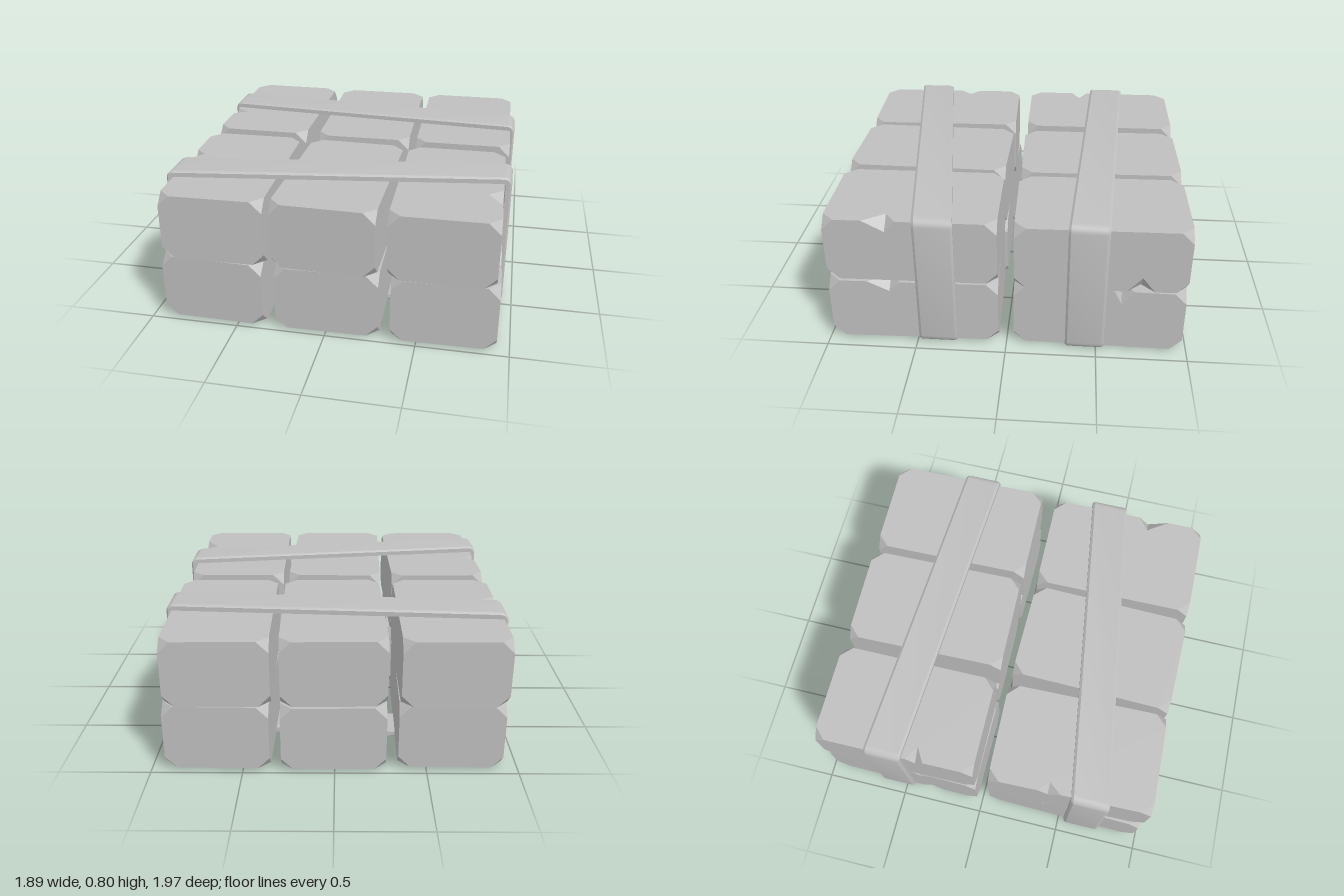
import * as THREE from 'three';
import { toCreasedNormals } from 'three/addons/utils/BufferGeometryUtils.js';

const stone = new THREE.MeshStandardMaterial({ color: 0xbfbfbf });
stone.name = 'grey';

const HALF = [0.285, 0.1875, 0.465]; // half size of one block
const CUT = 0.065; // size of the cut corners

// Collects triangles, each turned to face a given direction
function triangleSoup() {
  const data = [];
  const v = (p) => new THREE.Vector3(...p);
  return {
    add(p, q, r, dir) {
      const n = v(q).sub(v(p)).cross(v(r).sub(v(p)));
      data.push(...p, ...(n.dot(v(dir)) > 0 ? [...q, ...r] : [...r, ...q]));
    },
    geometry() {
      const g = new THREE.BufferGeometry();
      g.setAttribute('position', new THREE.Float32BufferAttribute(data, 3));
      return g;
    },
  };
}

// Box with cut corners and wedge chips on the long side edges.
// A chip is { sx, sy: which edge, z: [start, apex, end], dx, dy: depths }
function blockGeometry(chips) {
  const soup = triangleSoup();
  for (let a = 0; a < 3; a++) {
    const u = (a + 1) % 3, w = (a + 2) % 3;
    for (const s of [-1, 1]) {
      const outline = []; // [u, w, angle used for ordering]
      const put = (pu, pw, ku = pu, kw = pw) => outline.push([pu, pw, Math.atan2(kw, ku)]);
      for (const i of [-1, 1]) for (const j of [-1, 1]) {
        put(i * (HALF[u] - CUT), j * HALF[w]);
        put(i * HALF[u], j * (HALF[w] - CUT));
      }
      for (const c of chips) {
        const mid = (c.z[0] + c.z[2]) / 2;
        if (a === 0 && s === c.sx) {
          const e = c.sy * HALF[1];
          put(e, c.z[0]);
          put(e - c.sy * c.dy, c.z[1], e, mid);
          put(e, c.z[2]);
        } else if (a === 1 && s === c.sy) {
          const e = c.sx * HALF[0];
          put(c.z[0], e);
          put(c.z[1], e - c.sx * c.dx, mid, e);
          put(c.z[2], e);
        }
      }
      outline.sort((p, q) => p[2] - q[2]);
      const flat = outline.map((p) => new THREE.Vector2(p[0], p[1]));
      const dir = [0, 0, 0];
      dir[a] = s;
      const lift = (p) => {
        const r = [0, 0, 0];
        r[a] = s * HALF[a]; r[u] = p.x; r[w] = p.y;
        return r;
      };
      for (const t of THREE.ShapeUtils.triangulateShape(flat, [])) {
        soup.add(...t.map((k) => lift(flat[k])), dir);
      }
    }
  }
  // Cut corners
  for (const i of [-1, 1]) for (const j of [-1, 1]) for (const k of [-1, 1]) {
    const sign = [i, j, k];
    const pts = [0, 1, 2].map((axis) =>
      sign.map((s, n) => s * (HALF[n] - (n === axis ? CUT : 0))));
    soup.add(...pts, sign);
  }
  // Inner walls of the chips
  for (const { sx, sy, z, dx, dy } of chips) {
    const x = sx * HALF[0], y = sy * HALF[1];
    const inX = [x - sx * dx, y, z[1]], inY = [x, y - sy * dy, z[1]];
    for (const end of [z[0], z[2]]) soup.add([x, y, end], inX, inY, [sx, sy, 0]);
  }
  const g = soup.geometry();
  g.computeVertexNormals();
  return g;
}

// Closed rounded-rectangle band, sheared so it runs diagonally over the stack
function strapGeometry(zLeft, zRight) {
  const X = 0.945, Y = 0.4, R = 0.045, T = 0.035, W = 0.1075, STEPS = 5;
  const ring = (inset, halfWidth) => {
    const pts = [];
    for (let q = 0; q < 4; q++) for (let i = 0; i <= STEPS; i++) {
      const ang = (q + i / STEPS) * Math.PI / 2;
      const r = R - inset;
      const cx = (q === 0 || q === 3 ? 1 : -1) * (X - R);
      const cy = (q < 2 ? 1 : -1) * (Y - R);
      const x = cx + r * Math.cos(ang);
      const z = zLeft + (zRight - zLeft) * (x + X) / (2 * X) + halfWidth;
      pts.push([x, cy + r * Math.sin(ang) + Y, z]);
    }
    return pts;
  };
  // Bevelled cross-section: wide inside, slightly narrower outside
  const rings = [ring(T, W), ring(0.01, W), ring(0, W - 0.013),
    ring(0, -W + 0.013), ring(0.01, -W), ring(T, -W)];
  const pos = [];
  rings.forEach((a, k) => {
    const b = rings[(k + 1) % rings.length];
    a.forEach((p, i) => {
      const n = (i + 1) % a.length;
      pos.push(...p, ...a[n], ...b[i], ...a[n], ...b[n], ...b[i]);
    });
  });
  // Turn the winding outward
  for (let i = 0; i < pos.length; i += 9) {
    for (let k = 3; k < 6; k++) [pos[i + k], pos[i + k + 3]] = [pos[i + k + 3], pos[i + k]];
  }
  const g = new THREE.BufferGeometry();
  g.setAttribute('position', new THREE.Float32BufferAttribute(pos, 3));
  return toCreasedNormals(g, 0.5);
}

const chip = (sx, sy, z, dx, dy) => ({ sx, sy, z, dx, dy });

// Each block: x, z, turn about y, chips
const lower = [
  [-0.625, 0.515, -0.02, [chip(-1, 1, [-0.18, -0.12, -0.05], 0.06, 0.06)]],
  [0, 0.515, 0.015, []],
  [0.635, 0.515, 0.02, [chip(1, 1, [0.07, 0.13, 0.25], 0.08, 0.06)]],
  [-0.635, -0.495, -0.01, [chip(-1, 1, [0.08, 0.11, 0.2], 0.08, 0.06),
    chip(-1, -1, [0.1, 0.17, 0.24], 0.06, 0.08)]],
  [0.01, -0.52, 0.01, []],
  [0.63, -0.51, -0.015, [chip(1, 1, [-0.19, -0.12, -0.08], 0.07, 0.085)]],
];
const upper = [
  [-0.625, 0.515, 0.025, [chip(-1, 1, [-0.18, -0.12, -0.05], 0.06, 0.06)]],
  [0, 0.515, -0.02, []],
  [0.618, 0.515, 0.01, [chip(1, 1, [0.07, 0.13, 0.25], 0.08, 0.065)]],
  [-0.635, -0.5, 0.005, [chip(-1, 1, [0.08, 0.13, 0.18], 0.085, 0.06)]],
  [0.012, -0.5, 0.02, []],
  [0.63, -0.505, 0.015, [chip(1, -1, [-0.29, -0.22, -0.14], 0.07, 0.09)]],
];

export function createModel() {
  const model = new THREE.Group();
  model.name = 'strappedBlockStack';
  const addMesh = (name, geometry) => {
    const mesh = new THREE.Mesh(geometry, stone);
    mesh.name = name;
    model.add(mesh);
    return mesh;
  };

  // Two layers of six blocks
  [['lowerBlock', lower, 0.2025], ['upperBlock', upper, 0.5775]].forEach(([name, list, y]) => {
    list.forEach(([x, z, turn, chips], i) => {
      const block = addMesh(name + (i + 1), blockGeometry(chips));
      block.position.set(x, y, z);
      block.rotation.y = turn;
    });
  });

  // Straps around the stack
  addMesh('frontStrap', strapGeometry(0.645, 0.38));
  addMesh('backStrap', strapGeometry(-0.555, -0.435));
  return model;
}
